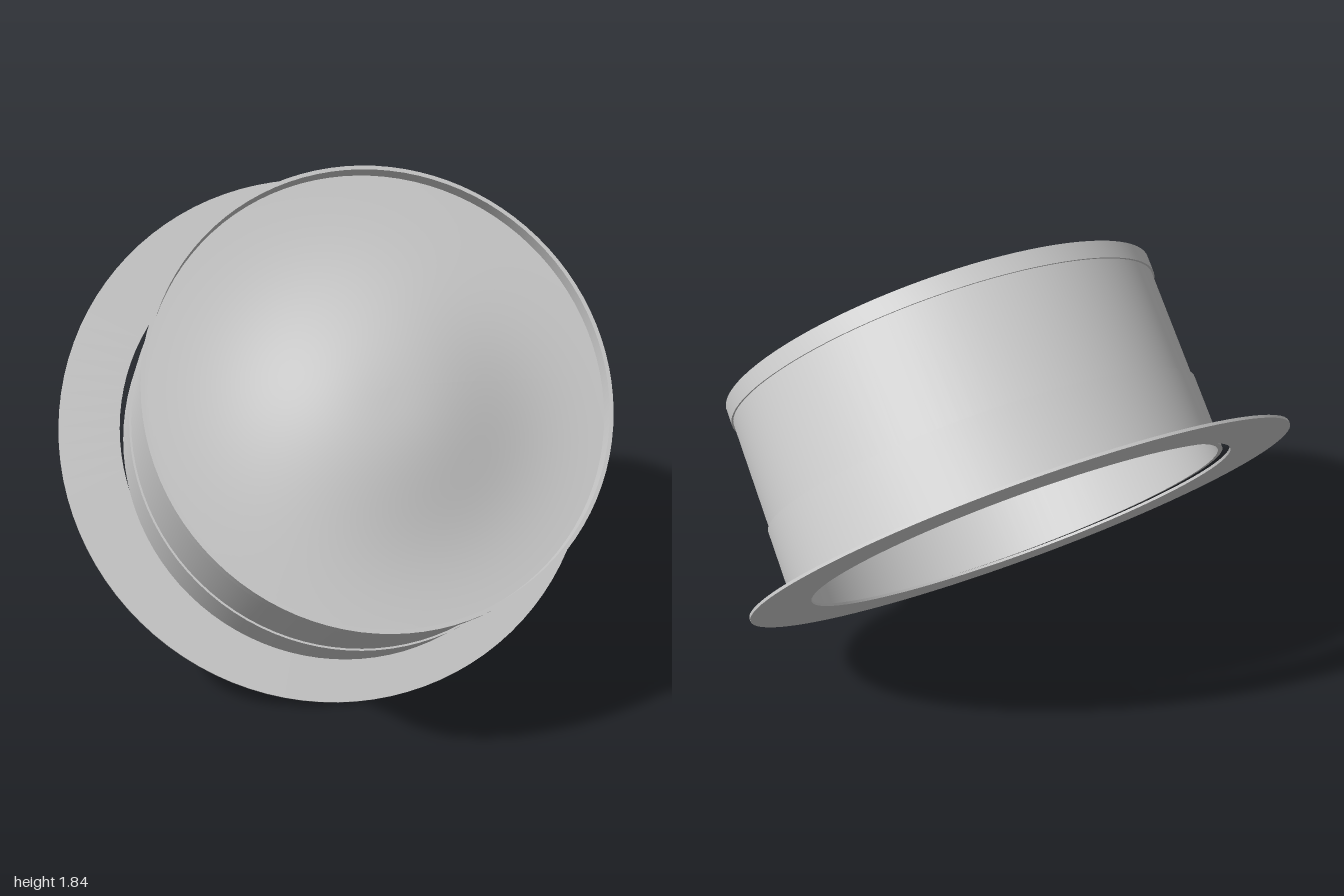
import * as THREE from 'three';
import { toCreasedNormals } from 'three/addons/utils/BufferGeometryUtils.js';

const SEGMENTS = 96;

export function createModel() {
  const straw = new THREE.MeshStandardMaterial({ color: 0xcccccc, side: THREE.DoubleSide });
  straw.name = 'paleGrey';

  // Ring with a rectangular section, turned around the y axis
  function ring(name, inner, outer, bottom, top) {
    const profile = [[inner, bottom], [outer, bottom], [outer, top], [inner, top], [inner, bottom]]
      .map(([r, y]) => new THREE.Vector2(r, y));
    const geometry = toCreasedNormals(new THREE.LatheGeometry(profile, SEGMENTS), 0.6);
    const mesh = new THREE.Mesh(geometry, straw);
    mesh.name = name;
    return mesh;
  }

  // Whole hat, tilted towards the front
  const hat = new THREE.Group();
  hat.name = 'hat';
  hat.rotation.x = THREE.MathUtils.degToRad(51.1);
  hat.position.set(0, 0.782, -0.245);

  // Flat brim with a round opening
  hat.add(ring('brim', 0.78, 1, -0.005, 0.005));

  // Crown, set slightly off the centre of the brim
  const crown = new THREE.Group();
  crown.name = 'crown';
  crown.position.set(0.03, 0, 0.048);
  crown.add(
    ring('crownWall', 0.787, 0.797, 0.012, 0.69),
    ring('hatBand', 0.797, 0.804, 0.012, 0.282),
    ring('crownRim', 0.79, 0.804, 0.686, 0.748),
  );

  // Recessed crown top with a soft bulge in the middle
  const topGeometry = new THREE.RingGeometry(0, 0.792, SEGMENTS, 32);
  topGeometry.rotateX(-Math.PI / 2);
  const p = topGeometry.attributes.position;
  for (let i = 0; i < p.count; i++) {
    const d = Math.hypot(p.getX(i) - 0.01, p.getZ(i) - 0.05);
    p.setY(i, 0.69 + 0.12 * Math.exp(-Math.pow(d / 0.42, 2.4)));
  }
  topGeometry.computeVertexNormals();
  const crownTop = new THREE.Mesh(topGeometry, straw);
  crownTop.name = 'crownTop';
  crown.add(crownTop);

  hat.add(crown);
  const model = new THREE.Group();
  model.name = 'strawHat';
  model.add(hat);
  return model;
}
